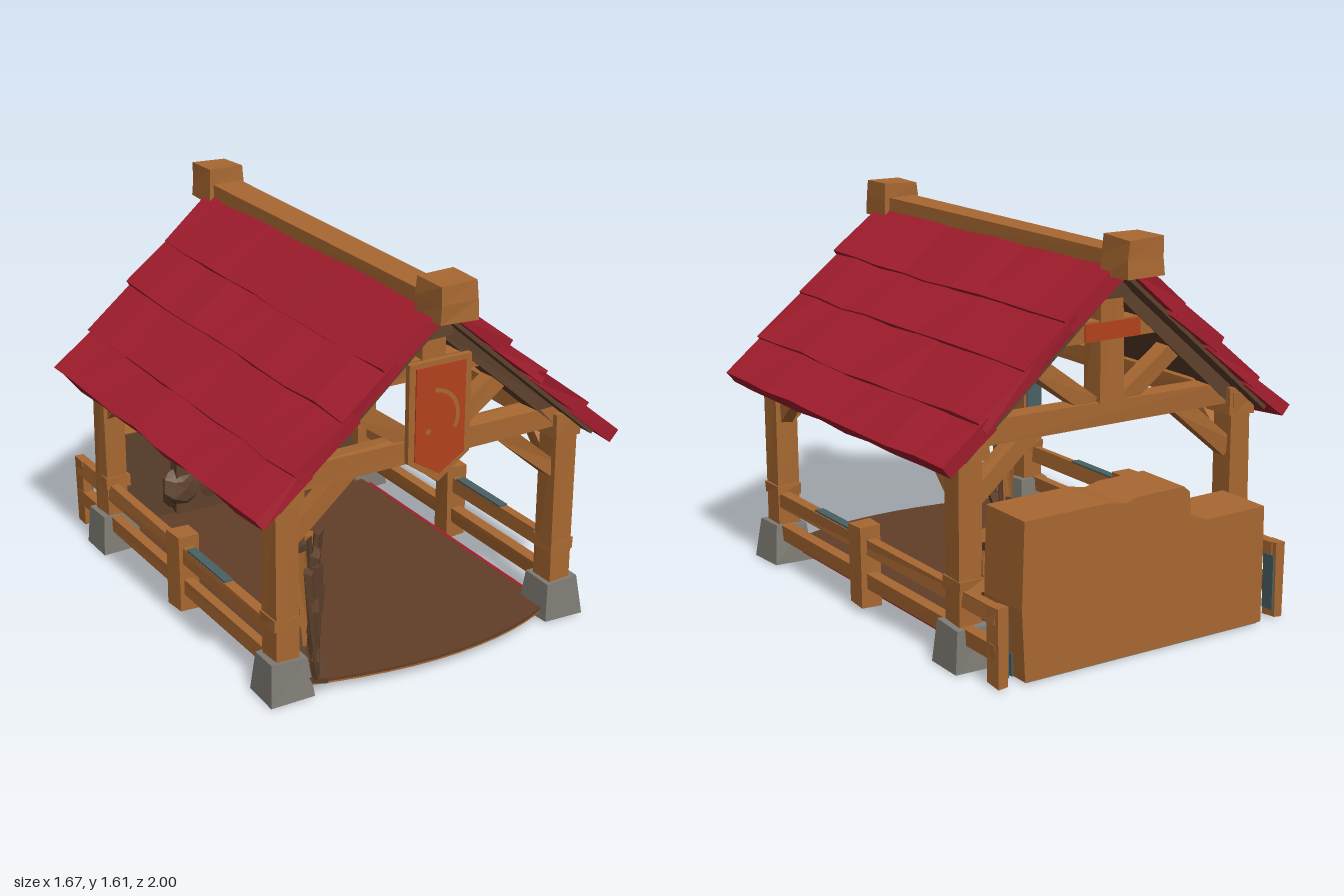
import * as THREE from 'three';

const paint = (name, color) => {
  const m = new THREE.MeshStandardMaterial({ color, flatShading: true });
  m.name = name;
  return m;
};

export function createModel() {
  const wood = paint('wood', 0xa86831);
  const darkWood = paint('dark wood', 0x5e412c);
  const earth = paint('packed earth', 0x613f28);
  const red = paint('red roof', 0xa41d2e);
  const banner = paint('banner red', 0xb3421f);
  const stone = paint('stone', 0x7f7b74);
  const slate = paint('blue slate', 0x4a6064);
  const model = new THREE.Group();
  model.name = 'trainingShelter';

  // Hand-hewn wobble: equal positions always move equally, so seams stay closed
  let seed = 1;
  const hash = (x, y, z, k) => {
    const s = Math.sin(x * 127.1 + y * 311.7 + z * 74.7 + k * 19.19 + seed * 3.7) * 43758.5453;
    return (s - Math.floor(s)) * 2 - 1;
  };
  const rough = (geo, amount) => {
    seed++;
    const p = geo.attributes.position;
    for (let i = 0; i < p.count; i++) {
      const v = [p.getX(i), p.getY(i), p.getZ(i)].map(n => Math.round(n * 1000) / 1000 + 0);
      p.setXYZ(i, ...v.map((n, k) => n + hash(...v, k) * amount));
    }
    geo.computeVertexNormals();
    return geo;
  };
  const add = (name, geo, mat, x = 0, y = 0, z = 0, parent = model) => {
    const m = new THREE.Mesh(geo, mat);
    m.name = name;
    m.position.set(x, y, z);
    parent.add(m);
    return m;
  };
  const box = (name, mat, x0, x1, y0, y1, z0, z1, amount = 0.005) =>
    add(name, rough(new THREE.BoxGeometry(x1 - x0, y1 - y0, z1 - z0), amount), mat,
      (x0 + x1) / 2, (y0 + y1) / 2, (z0 + z1) / 2);
  // Beam from a to b; w is its horizontal width, h its thickness
  const beam = (name, mat, a, b, w, h, segs = 1, amount = 0.005) => {
    const A = new THREE.Vector3(...a), B = new THREE.Vector3(...b);
    const geo = rough(new THREE.BoxGeometry(w, h, A.distanceTo(B), segs, 1, 1), amount);
    const mid = A.add(B).multiplyScalar(0.5);
    add(name, geo, mat, mid.x, mid.y, mid.z).lookAt(B);
  };
  const polygon = pts => new THREE.Shape(pts.map(p => new THREE.Vector2(...p)));
  const extrude = (shape, depth) => new THREE.ExtrudeGeometry(shape, { depth, bevelEnabled: false });

  // Floor with a bulging front edge: earth above, boards below
  const floor = new THREE.Shape();
  floor.moveTo(-0.6, 0.74);
  floor.lineTo(0.6, 0.74);
  floor.lineTo(0.6, -0.82);
  floor.bezierCurveTo(0.3, -0.97, -0.1, -1.0, -0.6, -0.84);
  add('floor', extrude(floor, 0.012).rotateX(-Math.PI / 2), earth, 0, 0.054, 0);
  add('floorUnderside', extrude(floor, 0.006).rotateX(-Math.PI / 2), wood, 0, 0.047, 0);

  // Roof: four overlapping plank rows on each slope, over dark boards and rafters
  const slope = (x, off) => [x + 0.663 * off, 1.48 - 0.885 * (x - 0.1) + 0.749 * off];
  const rows = [0.06, 0.27, 0.45, 0.65, 0.81];
  for (const s of [-1, 1]) {
    const at = (x, off, z) => { const [px, py] = slope(x, off); return [s * px, py, z]; };
    for (let i = 0; i < 4; i++)
      beam('roofPlankRow', red, at(rows[i] - 0.02, -0.038, 0.05), at(rows[i + 1] + 0.015, -0.022, 0.05),
        1.775, 0.058, 9, 0.008);
    beam('roofUnderside', darkWood, at(0.06, -0.074, 0.05), at(0.76, -0.066, 0.05), 1.73, 0.016, 1, 0);
    for (const z of [0.79, 0.05, -0.69])
      beam('rafter', darkWood, at(0.05, -0.105, z), at(0.68, -0.1, z), 0.09, 0.06);
  }
  box('ridgeBeam', wood, -0.065, 0.065, 1.46, 1.56, -0.84, 0.9);
  for (const z of [0.91, -0.86]) {
    const cap = new THREE.CylinderGeometry(0.112, 0.122, 0.15, 4, 2).rotateY(Math.PI / 4);
    add('ridgeCap', rough(cap, 0.005), wood, 0, 1.545, z);
  }

  // Gable frames at front and back
  for (const z of [0.79, -0.69]) {
    box('tieBeam', wood, -0.62, 0.62, 0.87, 0.96, z - 0.045, z + 0.045);
    box('collarBeam', wood, -0.27, 0.27, 1.2, 1.28, z - 0.04, z + 0.04);
    box('kingPost', wood, -0.055, 0.055, 0.95, 1.46, z - 0.05, z + 0.05);
    box('apexBlock', darkWood, -0.08, 0.08, 1.36, 1.45, z - 0.055, z + 0.055);
    for (const s of [-1, 1]) {
      beam('gableStrut', wood, [s * 0.08, 0.95, z], [s * 0.36, 1.15, z], 0.07, 0.075);
      beam('kneeBrace', wood, [s * 0.61, 0.67, z], [s * 0.35, 0.89, z], 0.07, 0.07);
      box('post', wood, s * 0.645 - 0.05, s * 0.645 + 0.05, 0.15, 0.9, z - 0.055, z + 0.055);
      box('postCollar', wood, s * 0.645 - 0.055, s * 0.645 + 0.055, 0.31, 0.36, z - 0.06, z + 0.06);
      box('postCapital', wood, s * 0.64 - 0.065, s * 0.64 + 0.065, 0.82, 0.93, z - 0.07, z + 0.07);
      const d = z > 0 ? -1 : 1;
      beam('eaveBrace', wood, [s * 0.645, 0.66, z + d * 0.03], [s * 0.645, 0.85, z + d * 0.22], 0.06, 0.06);
      // Tapered stone foot
      const foot = new THREE.CylinderGeometry(0.105, 0.128, 0.165, 4).rotateY(Math.PI / 4);
      add('stoneFoot', rough(foot, 0.006), stone, s * 0.645, 0.098, z);
    }
  }
  box('postSlateFace', slate, -0.685, -0.605, 0.38, 0.8, 0.722, 0.73, 0);

  // Side rails, eave beams and short rear rail ends
  for (const s of [-1, 1]) {
    const x = s * 0.665;
    box('eaveBeam', wood, s * 0.635 - 0.04, s * 0.635 + 0.04, 0.83, 0.91, -0.76, 0.8);
    for (const y of [0.295, 0.15]) box('sideRail', wood, x - 0.022, x + 0.022, y - 0.033, y + 0.033, -0.97, 0.8);
    box('railSlateTop', slate, x - 0.02, x + 0.02, 0.327, 0.335, 0.1, 0.42, 0);
    box('railPost', wood, x - 0.045, x + 0.05, 0.04, 0.38, -0.03, 0.07);
    box('railEndPost', wood, x - 0.022, x + 0.022, 0.02, 0.33, -0.99, -0.92);
    box('railEndSlate', slate, s * 0.64 - 0.004, s * 0.64 + 0.004, 0.05, 0.28, -0.985, -0.925, 0);
    box('backstopSlateCorner', slate, s * 0.576 - 0.004, s * 0.576 + 0.004, 0.02, 0.11, -0.92, -0.76, 0);
    box('floorEdgeTrim', red, s * 0.606 - 0.008, s * 0.606 + 0.008, 0.058, 0.067, -0.55, 0.68, 0);
  }

  // Hanging shield banner
  const shield = polygon([[-0.14, 0.24], [0.14, 0.24], [0.14, -0.16], [0.07, -0.21], [0, -0.26], [-0.07, -0.21], [-0.14, -0.16]]);
  add('bannerBorder', extrude(shield, 0.025), wood, 0, 1.05, 0.86);
  const cloth = polygon([[-0.112, 0.22], [0.112, 0.22], [0.112, -0.155], [0.055, -0.19], [0, -0.225], [-0.055, -0.19], [-0.112, -0.155]]);
  add('bannerCloth', extrude(cloth, 0.006), banner, 0, 1.05, 0.884);
  add('bannerBack', extrude(cloth, 0.006), banner, 0, 1.05, 0.855);
  add('bannerArc', new THREE.RingGeometry(0.105, 0.122, 10, 1, -0.5, 2), wood, -0.035, 1.06, 0.892);
  add('bannerDot', new THREE.CircleGeometry(0.013, 6), wood, -0.055, 1.01, 0.892);
  box('rearGablePlate', banner, -0.13, 0.13, 1.205, 1.275, -0.746, -0.738, 0);

  // Stepped backstop behind the rear posts
  const backstop = polygon([[-0.57, 0.02], [0.57, 0.02], [0.585, 0.3], [0.575, 0.645], [0.2, 0.65], [0.12, 0.635],
    [0.06, 0.65], [-0.16, 0.655], [-0.19, 0.63], [-0.2, 0.53], [-0.28, 0.5], [-0.57, 0.505]]);
  add('backstop', extrude(backstop, 0.255), wood, 0, 0, -0.995);
  box('backstopFoot', stone, -0.56, 0.56, 0.012, 0.03, -0.985, -0.745, 0);
  box('backstopDarkFace', darkWood, -0.57, 0.575, 0.03, 0.5, -0.742, -0.735, 0);
  box('backstopSlat', wood, -0.07, 0.17, 0.175, 0.23, -0.736, -0.73, 0);

  // Round targets on dark stands with straw heaped below
  for (const tx of [-0.22, 0.47]) {
    const target = new THREE.Group();
    target.name = 'target';
    target.position.set(tx, 0.4, -0.74);
    model.add(target);
    add('targetBody', new THREE.CylinderGeometry(0.12, 0.125, 0.11, 14).rotateX(Math.PI / 2), wood, 0, 0, 0.055, target);
    [[0.106, stone], [0.08, banner], [0.037, wood]].forEach(([r, mat], i) =>
      add('targetRing', new THREE.CircleGeometry(r, 14), mat, 0, 0, 0.112 + i * 0.003, target));
  }
  box('targetStand', darkWood, 0.3, 0.57, 0.08, 0.48, -0.74, -0.67, 0.012);
  box('targetStand', darkWood, -0.34, -0.1, 0.08, 0.4, -0.74, -0.67, 0.012);
  [[-0.3, 0.2, 0.1], [0.25, 0.44, 0.085], [0.27, 0.3, 0.08], [0.25, 0.17, 0.085], [0.41, 0.2, 0.1], [0.52, 0.18, 0.08], [-0.16, 0.2, 0.1]]
    .forEach(([x, y, r]) => {
      const lump = add('strawLump', rough(new THREE.IcosahedronGeometry(r, 1), 0.012), darkWood, x, y, -0.71);
      lump.scale.z = 0.55;
    });

  // Rack of rough sticks beside the front left post
  const along = (t, y) => [-0.37 - 0.17 * t, y, 0.53 + 0.34 * t];
  for (const y of [0.17, 0.38]) beam('rackRail', darkWood, along(-0.05, y), along(1.05, y + 0.02), 0.03, 0.04);
  beam('rackBase', darkWood, along(-0.25, 0.08), along(1.05, 0.08), 0.1, 0.025);
  for (let i = 0; i < 12; i++) {
    const t = i / 11, lean = hash(i, 2, 3, 0) * 0.1;
    const a = along(t, 0.08 + 0.06 * Math.abs(hash(i, 5, 1, 1))), b = along(t + lean, 0.5 + 0.05 * hash(i, 1, 7, 2));
    b[0] += lean * 0.5;
    beam('rackStick', i % 4 ? darkWood : wood, a, b, 0.038, 0.03, 1, 0.009);
  }
  return model;
}
